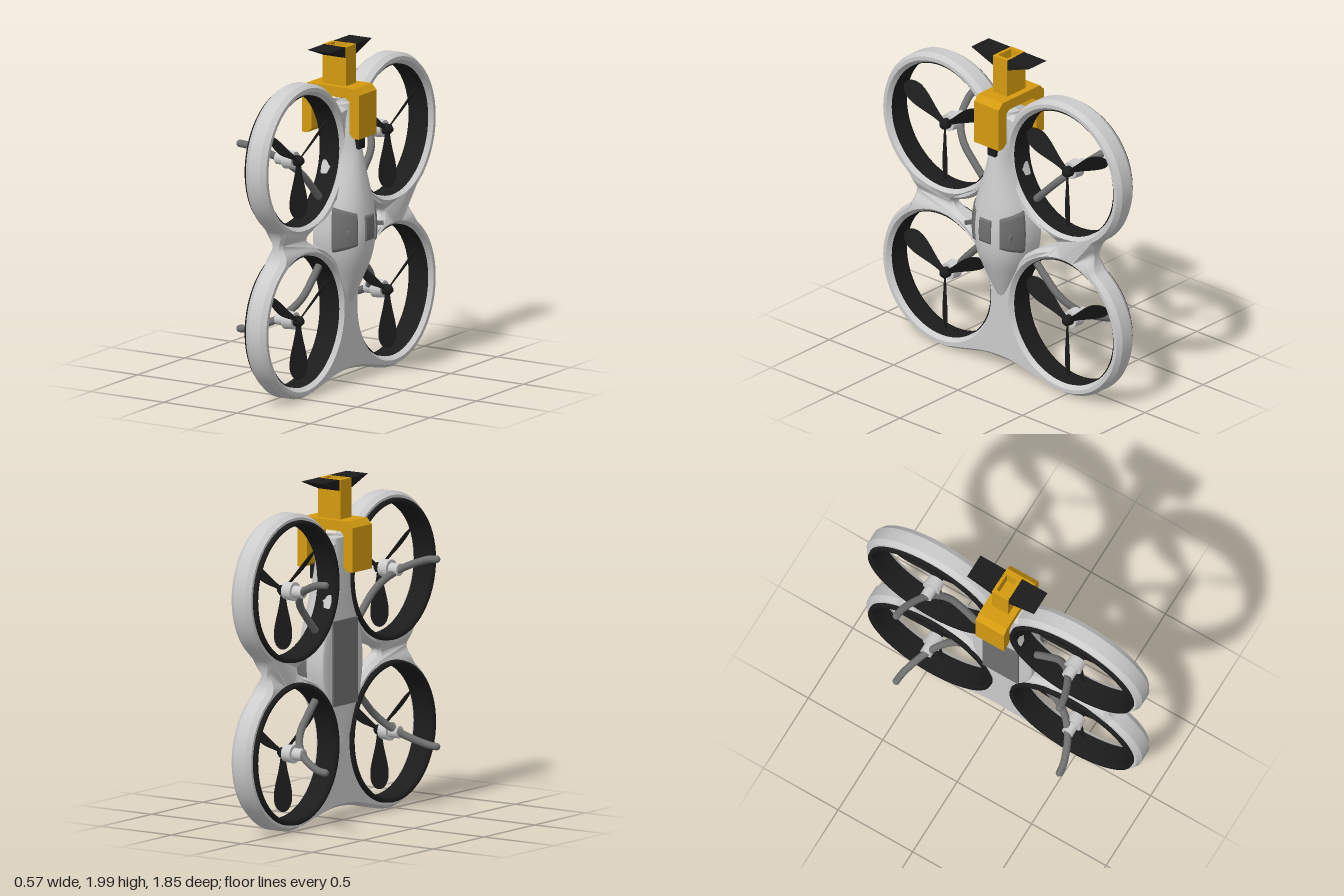
import * as THREE from 'three';
import { toCreasedNormals } from 'three/addons/utils/BufferGeometryUtils.js';

const mat = (color) => new THREE.MeshStandardMaterial({ color, side: THREE.DoubleSide });
const shell = mat(0xcccccc), black = mat(0x1c1c1c), grey = mat(0x707070), yellow = mat(0xd49b10);
const CX = 0.475, MID = 0.93, CY = 0.475; // rotor offsets from the airframe middle
const deg = THREE.MathUtils.degToRad;

function add(parent, name, geometry, material, x = 0, y = 0, z = 0) {
  const mesh = new THREE.Mesh(geometry, material);
  mesh.name = name;
  mesh.position.set(x, y, z);
  parent.add(mesh);
  return mesh;
}

// Grid surface from a function f(u, v) -> Vector3
function grid(f, nu, nv) {
  const pos = [], idx = [];
  for (let j = 0; j <= nv; j++)
    for (let i = 0; i <= nu; i++) pos.push(...f(i / nu, j / nv).toArray());
  for (let j = 0; j < nv; j++)
    for (let i = 0; i < nu; i++) {
      const a = j * (nu + 1) + i, b = a + nu + 1;
      idx.push(a, b, a + 1, a + 1, b, b + 1);
    }
  const g = new THREE.BufferGeometry();
  g.setAttribute('position', new THREE.Float32BufferAttribute(pos, 3));
  g.setIndex(idx);
  g.computeVertexNormals();
  return g;
}

// Guard frame: four joined rings, thinned at the waist
function frameGeometry() {
  const lo = MID - CY, hi = MID + CY, R = 0.45;
  const half = new THREE.Path();
  half.moveTo(0, 0.08);
  half.bezierCurveTo(0.15, 0.08, 0.28, 0.03, 0.397, 0.012);
  half.absarc(CX, lo, R, deg(-100), deg(55), false);
  half.bezierCurveTo(0.673, 0.866, 0.673, 0.994, 0.733, 1.036);
  half.absarc(CX, hi, R, deg(-55), deg(148), false);
  half.lineTo(0, 1.655);
  const right = half.getPoints(36);
  const left = right.filter((p) => p.x > 1e-4).map((p) => new THREE.Vector2(-p.x, p.y)).reverse();
  const shape = new THREE.Shape([...right, ...left]);

  const gap = new THREE.Path();
  gap.absarc(CX, lo, R, deg(138), deg(108), true);
  gap.bezierCurveTo(0.42, 0.905, 0.42, 0.955, 0.336, 0.977);
  gap.absarc(CX, hi, R, deg(-108), deg(-138), true);
  const gapPoints = gap.getPoints(12);
  for (const s of [1, -1]) {
    shape.holes.push(new THREE.Path(gapPoints.map((p) => new THREE.Vector2(s * p.x, p.y))));
    for (const y of [lo, hi]) {
      const ring = new THREE.Path().absarc(s * CX, y, 0.387, 0, Math.PI * 2, false);
      shape.holes.push(new THREE.Path(ring.getPoints(64).slice(0, -1)));
    }
  }
  const g = new THREE.ExtrudeGeometry(shape, {
    depth: 0.08, bevelThickness: 0.03, bevelSize: 0.02, bevelOffset: -0.02, bevelSegments: 1,
  });
  g.translate(0, 0, 0.03);
  const p = g.attributes.position;
  for (let i = 0; i < p.count; i++) {
    const f = 1 - 0.5 * Math.exp(-(((p.getY(i) - MID) / 0.05) ** 2));
    p.setZ(i, 0.065 + (p.getZ(i) - 0.065) * f);
  }
  return toCreasedNormals(g, 0.5);
}

// Fuselage surface: half width and front depth at even heights
const widths = [0.05, 0.115, 0.175, 0.2, 0.185, 0.137, 0.092, 0.086, 0.08];
const depths = [0.13, 0.195, 0.25, 0.268, 0.258, 0.235, 0.21, 0.18, 0.14];
const spine = new THREE.CatmullRomCurve3(
  widths.map((w, i) => new THREE.Vector3(w, 0.46 + 0.15 * i, depths[i])), false, 'catmullrom', 0.5);
function fuselage(angle, y, offset = 0) {
  const s = spine.getPoint(THREE.MathUtils.clamp((y - 0.46) / 1.2, 0, 1));
  const c = Math.cos(angle), n = Math.sin(angle);
  const x = Math.sign(c) * Math.abs(c) ** 0.85 * (s.x + offset);
  const z = n >= 0 ? 0.02 + (s.z + offset - 0.02) * n ** 0.85 : 0.02 - 0.03 * (-n) ** 0.4;
  return new THREE.Vector3(x, s.y, z);
}

// Raised panel following the fuselage, tapering from edge angle a0 to a1
function panelGeometry(a0, a1, h0, h1) {
  return grid((u, v) => {
    const edge = u === 0 || u === 1 || v === 0 || v === 1;
    const h = THREE.MathUtils.lerp(h0, h1, u);
    return fuselage(THREE.MathUtils.lerp(a0, a1, u), 0.94 + (v - 0.5) * h, edge ? -0.008 : 0.008);
  }, 16, 16);
}

function bladeGeometry() {
  const s = new THREE.Shape();
  s.moveTo(0.015, -0.014);
  s.bezierCurveTo(0.12, -0.02, 0.2, -0.062, 0.28, -0.054);
  s.bezierCurveTo(0.37, -0.04, 0.37, 0.04, 0.28, 0.054);
  s.bezierCurveTo(0.2, 0.062, 0.12, 0.02, 0.015, 0.014);
  const g = new THREE.ExtrudeGeometry(s, { depth: 0.006, bevelEnabled: false, curveSegments: 12 });
  return g.translate(0, 0, -0.003).rotateX(0.62);
}

// Rotor unit: liner, motor, hub, three blades and curved leg
function rotor(parent, sx, sy) {
  const g = new THREE.Group();
  g.name = 'rotorUnit';
  g.position.set(sx * CX, MID + sy * CY, 0);
  parent.add(g);
  const liner = [[0.415, 0.005], [0.412, -0.02], [0.39, -0.02], [0.384, 0], [0.384, 0.118]];
  add(g, 'ductLiner', new THREE.LatheGeometry(liner.map((p) => new THREE.Vector2(...p)), 64).rotateX(Math.PI / 2), black);
  const barrel = (name, r0, r1, z0, z1, m) =>
    add(g, name, new THREE.CylinderGeometry(r1, r0, z1 - z0, 24).rotateX(Math.PI / 2), m, 0, 0, (z0 + z1) / 2);
  barrel('motorMount', 0.036, 0.036, -0.06, 0.01, shell);
  barrel('motor', 0.055, 0.05, 0, 0.065, shell);
  barrel('propellerHub', 0.032, 0.03, 0.065, 0.1, black);
  barrel('hubCap', 0.03, 0.014, 0.1, 0.118, black);
  for (const a of [30, 150, 270])
    add(g, 'propellerBlade', bladeGeometry(), black, 0, 0, 0.085).rotation.z = deg(a);
  const path = [[-0.33, 0.05], [-0.2, 0.05], [-0.11, 0.04], [-0.045, 0], [0.01, -0.07], [0.05, -0.16], [0.068, -0.22], [0.073, -0.268]]
    .map(([d, z]) => new THREE.Vector3(sx * d, sy * d, z));
  add(g, 'leg', new THREE.TubeGeometry(new THREE.CatmullRomCurve3(path), 40, 0.022, 10), grey);
  const end = path[path.length - 1];
  add(g, 'foot', new THREE.SphereGeometry(0.022, 12, 8), grey, end.x, end.y, end.z);
}

// Bracket over the nose with a finned stem
function mount(parent) {
  const g = new THREE.Group();
  g.name = 'noseMount';
  parent.add(g);
  const c = 0.06, side = [[0.13, 1.71], [0.13, 1.5], [0.16, 1.475], [0.195, 1.475], [0.195, 1.735], [0.16, 1.77]];
  side[0] = [0.105, 1.71];
  side.splice(1, 0, [0.13, 1.69]);
  const outline = [...side, ...side.map(([x, y]) => [-x, y]).reverse()];
  const arch = new THREE.Shape(outline.map(([x, y]) => new THREE.Vector2(x + c, y)));
  add(g, 'bracket', new THREE.ExtrudeGeometry(arch, { depth: 0.19, bevelEnabled: false }), yellow, 0, 0, -0.095);

  // Hollow stem, open at the top
  add(g, 'stemBase', new THREE.BoxGeometry(0.16, 0.14, 0.11), yellow, c, 1.83, 0);
  for (const s of [1, -1]) {
    add(g, 'stemSide', new THREE.BoxGeometry(0.16, 0.1, 0.02), yellow, c, 1.95, s * 0.045);
    add(g, 'stemEnd', new THREE.BoxGeometry(0.025, 0.1, 0.07), yellow, c + s * 0.0675, 1.95, 0);
    const fin = new THREE.Shape([[0.05, 1.935], [0.225, 2], [0.05, 2]].map(([z, y]) => new THREE.Vector2(-s * z, y)));
    add(g, 'fin', new THREE.ExtrudeGeometry(fin, { depth: 0.15, bevelEnabled: false }).rotateY(Math.PI / 2), black, -0.013, 0, 0);
  }
}

export function createModel() {
  const root = new THREE.Group();
  root.name = 'quadcopter';
  // Airframe is drawn in XY with its belly-to-top axis on Z, then turned to face +x
  const air = new THREE.Group();
  air.name = 'airframe';
  air.rotation.y = Math.PI / 2;
  root.add(air);

  add(air, 'guardFrame', frameGeometry(), shell);
  add(air, 'fuselage', grid((u, v) => fuselage(-u * Math.PI * 2, 0.46 + v * 1.2), 64, 48), shell);
  add(air, 'backPanel', new THREE.BoxGeometry(0.24, 0.5, 0.02), grey, 0, MID, -0.008);
  add(air, 'noseCamera', new THREE.BoxGeometry(0.06, 0.08, 0.05), black, 0, 1.44, 0.19);
  add(air, 'centrePanel', panelGeometry(deg(100.5), deg(79.5), 0.16, 0.16), grey);
  for (const s of [1, -1]) {
    const a = (d) => deg(s > 0 ? d : 180 - d);
    add(air, 'sidePanel', panelGeometry(a(20), a(67), 0.29, 0.2), grey);
    const k = fuselage(a(46), 0.93, 0.02);
    add(air, 'panelKnob', new THREE.BoxGeometry(0.012, 0.025, 0.05), grey, k.x, k.y, k.z + 0.005).rotation.y = s * 0.5;
    for (const t of [1, -1]) rotor(air, s, t);
  }
  mount(root);
  return root;
}
